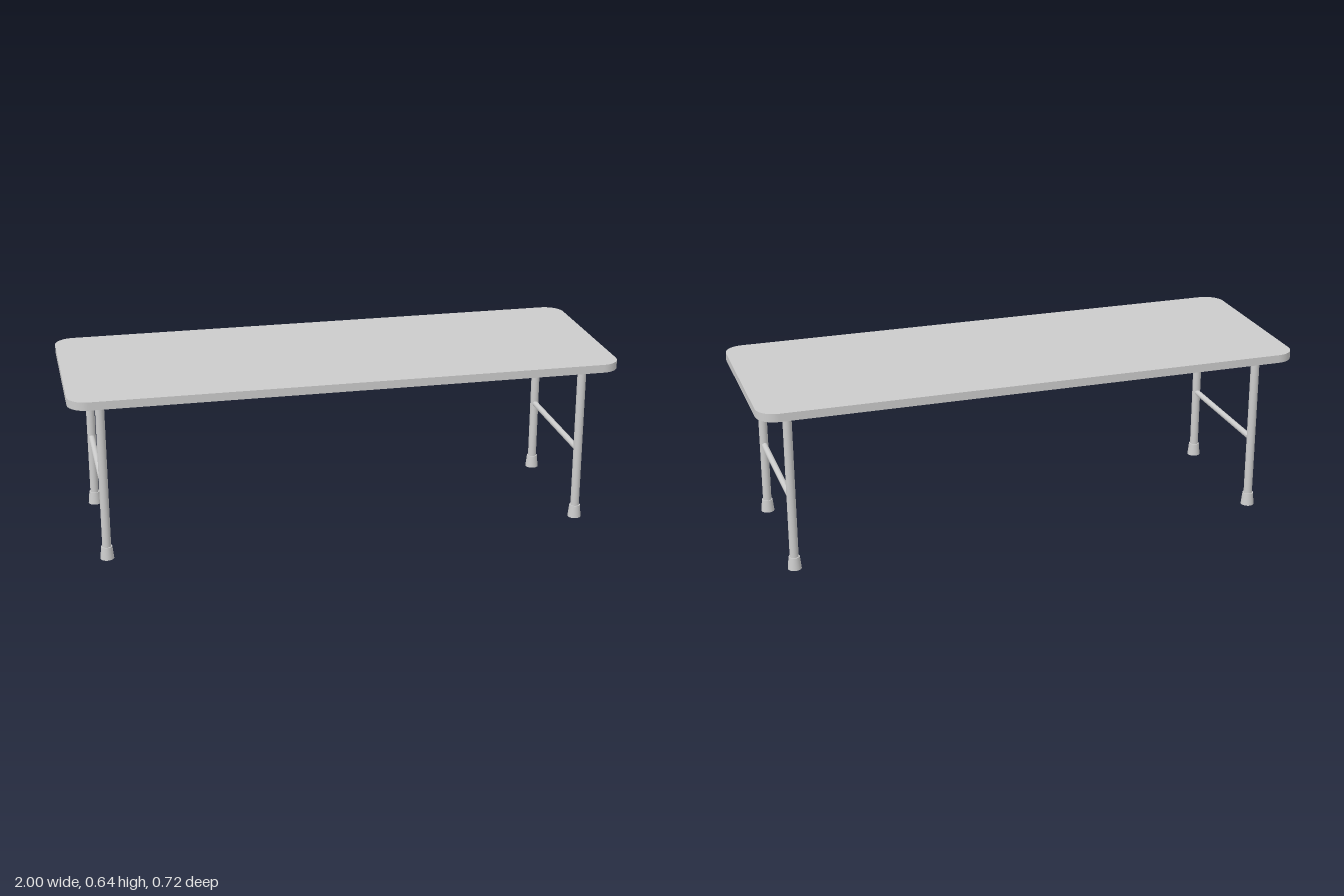
import * as THREE from 'three';

const material = new THREE.MeshStandardMaterial({ color: 0xcccccc });
const openMaterial = new THREE.MeshStandardMaterial({ color: 0xcccccc, side: THREE.DoubleSide });

const LEG_X = 0.885, LEG_Z = 0.256, FOOT_H = 0.047;
const TOP_Y = 0.608, TOP_T = 0.03;

function addMesh(parent, name, geometry, mat, x, y, z) {
  const mesh = new THREE.Mesh(geometry, mat);
  mesh.name = name;
  mesh.position.set(x, y, z);
  parent.add(mesh);
  return mesh;
}

// Rectangle with rounded corners, centred on the origin
function roundedRect(w, d, r) {
  const s = new THREE.Shape();
  s.absarc(w - r, d - r, r, 0, Math.PI / 2);
  s.absarc(r - w, d - r, r, Math.PI / 2, Math.PI);
  s.absarc(r - w, r - d, r, Math.PI, Math.PI * 1.5);
  s.absarc(w - r, r - d, r, Math.PI * 1.5, Math.PI * 2);
  s.closePath();
  return s;
}

export function createModel() {
  const table = new THREE.Group();
  table.name = 'table';

  // Table top: flat slab with rounded corners
  const slab = new THREE.ExtrudeGeometry(roundedRect(1, 0.36, 0.07), {
    depth: TOP_T, bevelEnabled: false, curveSegments: 12,
  });
  slab.rotateX(-Math.PI / 2);
  addMesh(table, 'tableTop', slab, material, 0, TOP_Y, 0);

  // Shared leg parts
  const legH = TOP_Y - FOOT_H;
  const legGeo = new THREE.CylinderGeometry(0.016, 0.016, legH, 32, 1, true);
  const footGeo = new THREE.CylinderGeometry(0.02, 0.025, FOOT_H, 32, 1, true);
  const rimGeo = new THREE.RingGeometry(0.016, 0.02, 32).rotateX(-Math.PI / 2);
  const barGeo = new THREE.CylinderGeometry(0.011, 0.011, 0.492, 24).rotateX(Math.PI / 2);

  for (const side of [-1, 1]) {
    const frame = new THREE.Group();
    frame.name = side > 0 ? 'leftLegFrame' : 'rightLegFrame';
    frame.position.x = side * LEG_X;
    table.add(frame);

    // Two legs with flared, hollow rubber feet
    for (const end of [-1, 1]) {
      const prefix = end > 0 ? 'front' : 'back';
      const z = end * LEG_Z;
      addMesh(frame, prefix + 'Leg', legGeo, openMaterial, 0, FOOT_H + legH / 2, z);
      addMesh(frame, prefix + 'Foot', footGeo, openMaterial, 0, FOOT_H / 2, z);
      addMesh(frame, prefix + 'FootRim', rimGeo, openMaterial, 0, FOOT_H, z);
    }

    // Crossbar between the legs
    addMesh(frame, 'crossbar', barGeo, material, 0, 0.273, 0);
  }
  return table;
}
